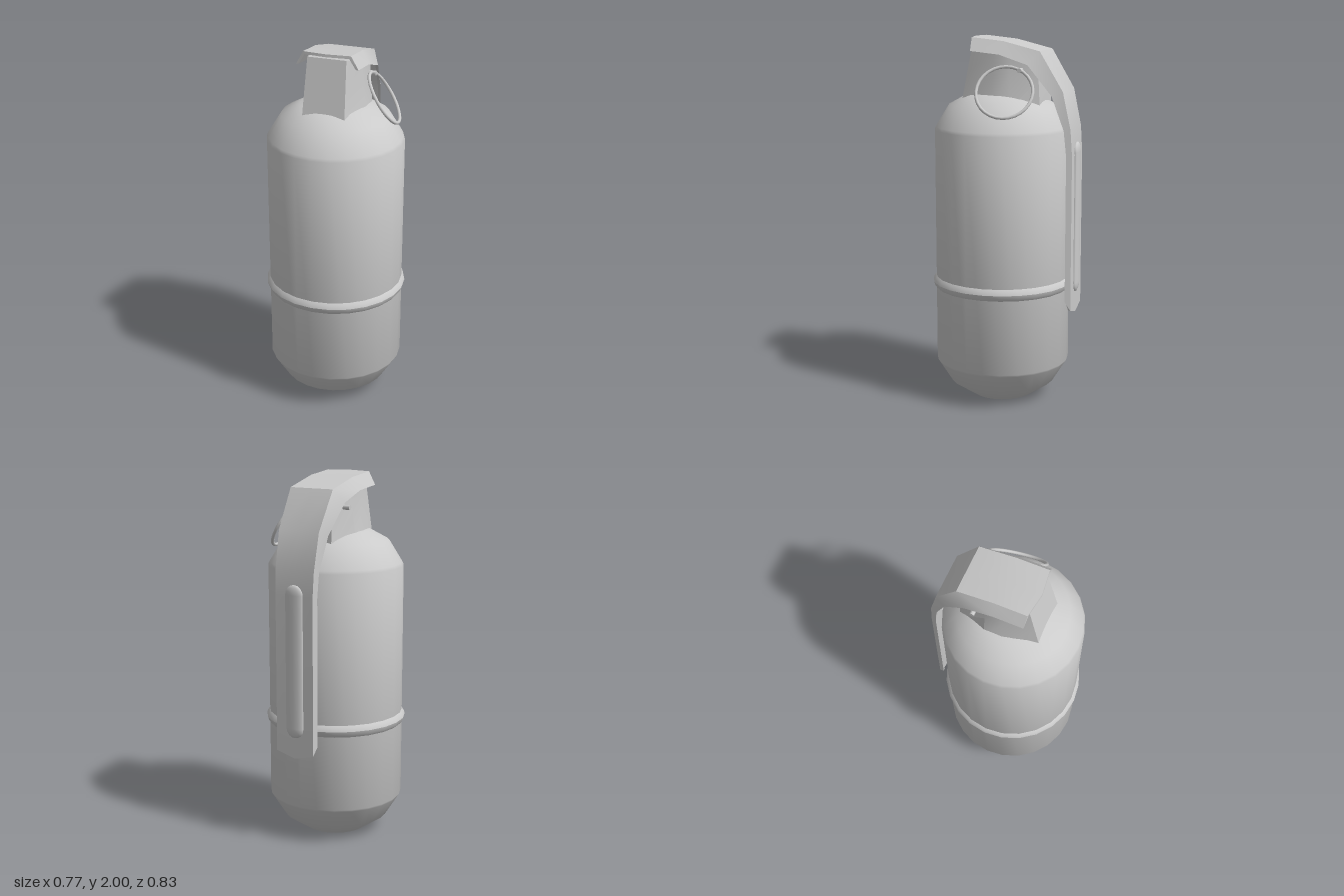
import * as THREE from 'three';
import { toCreasedNormals } from 'three/addons/utils/BufferGeometryUtils.js';

const material = new THREE.MeshStandardMaterial({ color: 0xcccccc });
const AXIS_Z = 0.025; // the canister axis sits slightly forward of the lever

function part(name, geometry) {
  const mesh = new THREE.Mesh(geometry, material);
  mesh.name = name;
  return mesh;
}

// Skin closed rings of [x, y, z]; rings run counter-clockwise seen from the far end.
function loft(rings, crease) {
  const pos = [];
  const quad = (a, b, c, d) => pos.push(...a, ...b, ...c, ...a, ...c, ...d);
  const n = rings[0].length;
  for (let j = 0; j < rings.length - 1; j++) {
    for (let i = 0; i < n; i++) {
      const k = (i + 1) % n;
      quad(rings[j][i], rings[j][k], rings[j + 1][k], rings[j + 1][i]);
    }
  }
  const first = rings[0], last = rings[rings.length - 1];
  for (let i = 0; i < n / 2 - 1; i++) {
    quad(last[i], last[i + 1], last[n - 2 - i], last[n - 1 - i]);
    quad(first[n - 1 - i], first[n - 2 - i], first[i + 1], first[i]);
  }
  const geometry = new THREE.BufferGeometry();
  geometry.setAttribute('position', new THREE.Float32BufferAttribute(pos, 3));
  return toCreasedNormals(geometry, crease);
}

function lathe(profile) {
  const points = profile.map(([r, y]) => new THREE.Vector2(r, y));
  return toCreasedNormals(new THREE.LatheGeometry(points, 24), 0.62).translate(0, 0, AXIS_Z);
}

// Canister: chamfered base, straight wall, domed shoulder, raised band
function createBody() {
  const body = new THREE.Group();
  body.name = 'body';
  body.add(part('canister', lathe([
    [0.17, 0], [0.29, 0.08], [0.362, 0.195], [0.37, 0.208],
    [0.37, 1.5], [0.362, 1.517],
    [0.29, 1.635], [0.19, 1.69], [0.1, 1.71], [0, 1.715],
  ])));
  body.add(part('base', new THREE.CircleGeometry(0.17, 24).rotateZ(Math.PI / 2)
    .rotateX(Math.PI / 2).translate(0, 0, AXIS_Z)));
  body.add(part('band', lathe([
    [0.369, 0.62], [0.381, 0.635], [0.387, 0.655], [0.381, 0.672], [0.369, 0.687],
  ])));
  return body;
}

// Fuze head: flat front, bulging sides, flaring where it sinks into the dome
function createHead() {
  const sections = [
    { half: [[0.118, 0.224], [0.18, 0.04], [0.18, -0.06], [0.12, -0.22]], y: [1.62, 1.62, 1.62, 1.6] },
    { half: [[0.112, 0.19], [0.154, 0.03], [0.154, -0.06], [0.115, -0.21]], y: [1.8, 1.8, 1.8, 1.78] },
    { half: [[0.106, 0.157], [0.148, 0.03], [0.148, -0.06], [0.115, -0.2]], y: [1.972, 1.94, 1.93, 1.87] },
  ];
  const rings = sections.map(({ half, y }) => {
    const left = half.map(([x, z], i) => [x, y[i], z]);
    const right = left.map(([x, h, z]) => [-x, h, z]);
    return [right[0], ...left, right[3], right[2], right[1]];
  });
  return part('fuzeHead', loft(rings, 0.35));
}

// Lever: folded channel swept over the head and down the back, pointed at both ends
function createLever() {
  const stations = [ // z, y, plate half width, flange half width, flange drop
    [0.155, 1.998, 0.13, 0.17, 0.07],
    [-0.02, 1.98, 0.13, 0.17, 0.07],
    [-0.22, 1.93, 0.13, 0.17, 0.09],
    [-0.345, 1.72, 0.123, 0.145, 0.06],
    [-0.387, 1.52, 0.118, 0.128, 0.035],
    [-0.396, 1.38, 0.115, 0.125, 0.03],
    [-0.396, 0.53, 0.115, 0.125, 0.03],
  ];
  const t = 0.015;
  const end = stations.length - 1;
  const rings = stations.map(([z, y, w1, w2, drop], j) => {
    const a = stations[Math.max(j - 1, 0)], b = stations[Math.min(j + 1, end)];
    const len = Math.hypot(b[0] - a[0], b[1] - a[1]);
    const tz = (b[0] - a[0]) / len, ty = (b[1] - a[1]) / len;
    // shift along the sweep for the centre and the flanges
    const [mid, side] = j === 0 ? [-0.018, 0.01] : j === end ? [0.03, -0.05] : [0, 0];
    const at = (x, depth, along) => [x, y + ty * along + tz * depth, z + tz * along - ty * depth];
    return [
      at(-w2, drop, side), at(-w1, 0, 0), at(0, 0, mid), at(w1, 0, 0), at(w2, drop, side),
      at(w2 - t, drop, side), at(w1 - t * 0.6, t, 0), at(0, t, mid), at(t * 0.6 - w1, t, 0), at(t - w2, drop, side),
    ];
  });
  const lever = new THREE.Group();
  lever.name = 'lever';
  lever.add(part('leverChannel', loft(rings, 0.75)));
  // stiffening rib pressed into the straight section
  lever.add(part('leverRib', new THREE.CapsuleGeometry(0.055, 0.72, 4, 12)
    .scale(1, 1, 0.33).translate(0, 1.03, -0.395)));
  return lever;
}

// Safety pin through the head with a tilted pull ring on the left side
function createPin() {
  const pin = new THREE.Group();
  pin.name = 'safetyPin';
  pin.add(part('pinRod', new THREE.CylinderGeometry(0.013, 0.013, 0.35, 8)
    .rotateZ(Math.PI / 2).translate(0.0, 1.83, -0.12)));
  const u = new THREE.Vector3(0.025, 0, 0.155).normalize();
  const n = u.clone().cross(new THREE.Vector3(0.08, -0.125, 0)).normalize();
  const v = n.clone().cross(u);
  const tilt = new THREE.Matrix4().makeBasis(u, v, n).setPosition(0.243, 1.722, -0.06);
  pin.add(part('pullRing', new THREE.TorusGeometry(0.15, 0.009, 8, 28).applyMatrix4(tilt)));
  return pin;
}

export function createModel() {
  const model = new THREE.Group();
  model.name = 'canisterGrenade';
  model.add(createBody(), createHead(), createLever(), createPin());
  return model;
}
